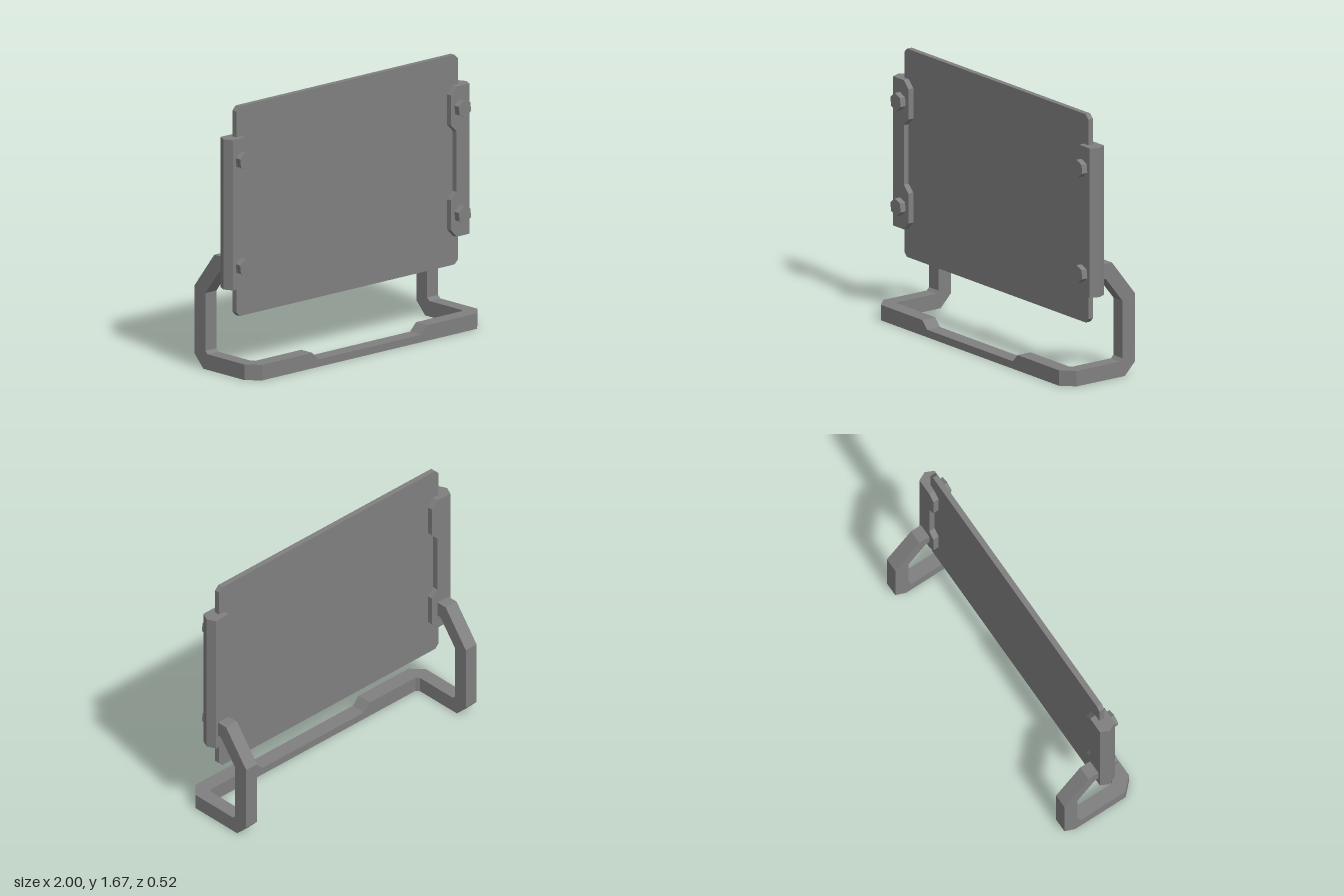
import * as THREE from 'three';

const steel = new THREE.MeshStandardMaterial({ color: 0x808080 });
steel.name = 'grey steel';

// Flat polygon given a thickness along +z
function prism(name, points, depth) {
  const shape = new THREE.Shape(points.map(([a, b]) => new THREE.Vector2(a, b)));
  const mesh = new THREE.Mesh(
    new THREE.ExtrudeGeometry(shape, { depth, bevelEnabled: false }), steel);
  mesh.name = name;
  return mesh;
}

// Polygon in (z, y), extruded across x
function sidePrism(name, points, xMin, xMax) {
  const mesh = prism(name, points, xMax - xMin);
  mesh.geometry.rotateY(-Math.PI / 2).translate(xMax, 0, 0);
  return mesh;
}

// Polygon in (x, z), extruded up y
function planPrism(name, points, yMin, yMax) {
  const mesh = prism(name, points, yMax - yMin);
  mesh.geometry.rotateX(Math.PI / 2).translate(0, yMax, 0);
  return mesh;
}

function createSide(s) {
  const side = new THREE.Group();
  side.name = s > 0 ? 'leftSide' : 'rightSide';
  const flip = (pts) => pts.map(([x, v]) => [s * x, v]);

  // Clamp body with a recessed middle on its inner edge
  const clamp = prism('clamp', flip([
    [0.974, 0.545], [0.868, 0.545], [0.823, 0.592], [0.823, 0.78], [0.868, 0.825],
    [0.868, 1.2], [0.823, 1.245], [0.823, 1.435], [0.868, 1.482], [0.974, 1.482],
  ]), 0.11);
  clamp.position.z = -0.013;
  side.add(clamp);

  // Pointed outer edge of the clamp
  side.add(planPrism('clampEdge', flip([
    [0.974, -0.013], [1, 0.042], [0.974, 0.097],
  ]), 0.545, 1.482));

  // Hexagonal bolt heads
  for (const y of [0.683, 1.345]) {
    const hexagon = [];
    for (let i = 0; i < 6; i++) {
      const a = Math.PI * (i / 3 + 0.54);
      hexagon.push([0.055 * Math.cos(a), 0.055 * Math.sin(a)]);
    }
    const bolt = prism('bolt', hexagon, 0.042);
    bolt.position.set(s * 0.9, y, 0.094);
    side.add(bolt);
  }

  // Bent leg from the clamp down to the floor and forward
  const [x0, x1] = s > 0 ? [0.868, 0.958] : [-0.958, -0.868];
  side.add(sidePrism('leg', [
    [0, 0.73], [-0.085, 0.73], [-0.26, 0.505], [-0.26, 0.08], [-0.182, 0], [0.14, 0],
    [0.14, 0.097], [-0.145, 0.097], [-0.164, 0.115], [-0.164, 0.475],
    [-0.038, 0.635], [0, 0.635],
  ], x0, x1));

  // Bevelled corner joining leg and front bar
  side.add(planPrism('footCorner', flip([
    [0.868, 0.14], [0.958, 0.14], [0.958, 0.184], [0.883, 0.26], [0.85, 0.26], [0.85, 0.162],
  ]), 0, 0.097));
  return side;
}

export function createModel() {
  const model = new THREE.Group();
  model.name = 'panelStand';

  // Thin panel with clipped corners
  const panel = prism('panel', [
    [-0.885, 0.362], [0.885, 0.362], [0.912, 0.389], [0.912, 1.643],
    [0.885, 1.67], [-0.885, 1.67], [-0.912, 1.643], [-0.912, 0.389],
  ], 0.035);
  panel.position.z = 0.025;
  model.add(panel);

  // Front bar with a lowered middle
  const bar = prism('frontBar', [
    [-0.85, 0], [0.85, 0], [0.85, 0.097], [0.472, 0.097], [0.424, 0.047],
    [-0.424, 0.047], [-0.472, 0.097], [-0.85, 0.097],
  ], 0.098);
  bar.position.z = 0.162;
  model.add(bar);

  model.add(createSide(1), createSide(-1));
  return model;
}
